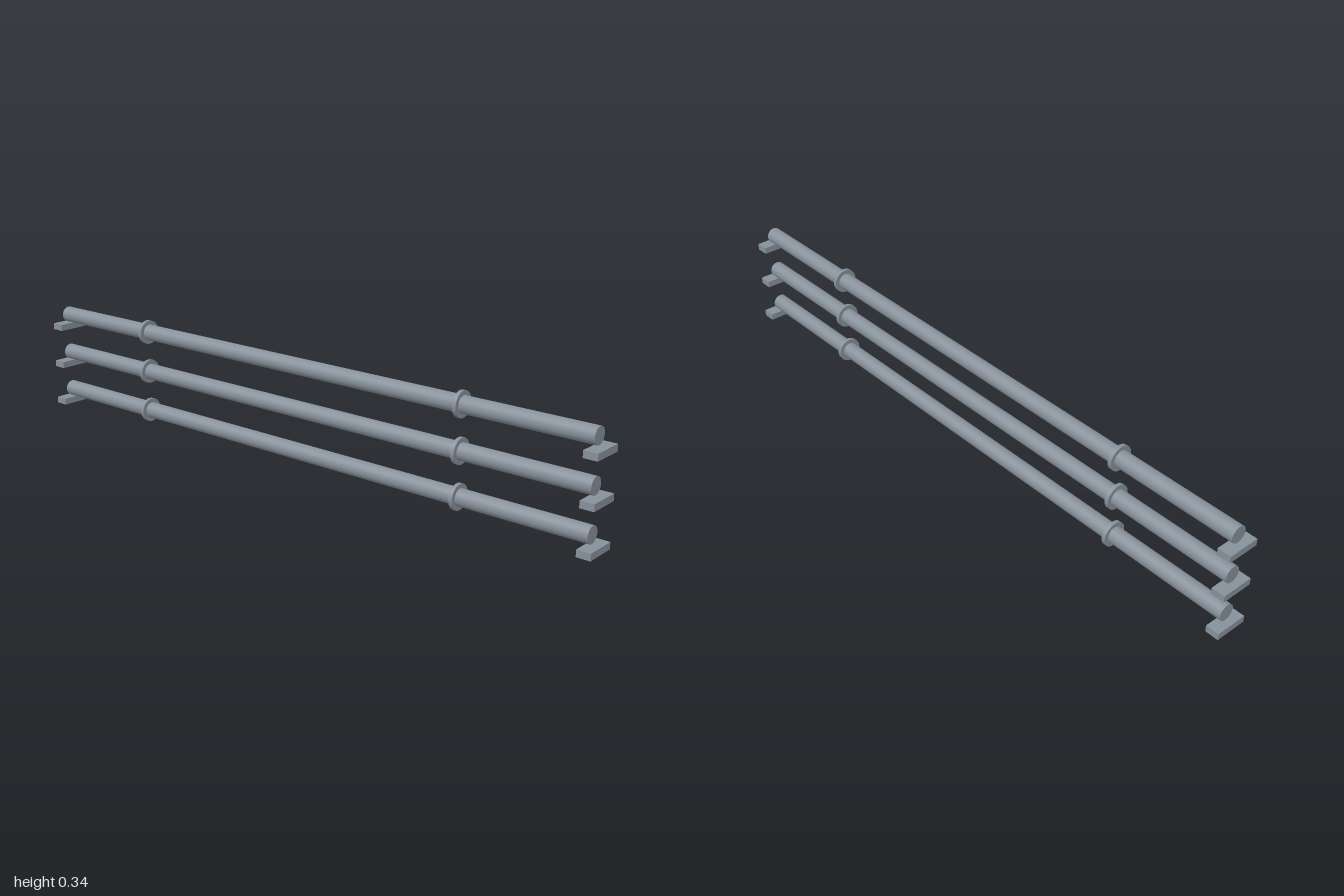
import * as THREE from 'three';

const steel = new THREE.MeshStandardMaterial({ color: 0x87919b });
steel.name = 'steel grey';

// Cylinder lying along x
function rod(name, radius, length, x, y) {
  const geometry = new THREE.CylinderGeometry(radius, radius, length, 32);
  geometry.rotateZ(Math.PI / 2);
  const mesh = new THREE.Mesh(geometry, steel);
  mesh.name = name;
  mesh.position.set(x, y, 0);
  return mesh;
}

// One pipe with two collars and a foot plate under each end
function createRail() {
  const rail = new THREE.Group();
  const axisY = 0.047;
  rail.add(rod('pipe', 0.0245, 1.955, -0.002, axisY));
  for (const side of [-1, 1]) {
    const label = side > 0 ? 'left' : 'right';
    rail.add(rod(label + 'Collar', 0.037, 0.011, side * 0.588 - 0.004, axisY));
    const foot = new THREE.Mesh(new THREE.BoxGeometry(0.04, 0.02, 0.097), steel);
    foot.name = label + 'FootPlate';
    foot.position.set(side * 0.98, 0.01, 0);
    rail.add(foot);
  }
  return rail;
}

export function createModel() {
  const model = new THREE.Group();
  model.name = 'pipeRails';
  ['lowerRail', 'middleRail', 'upperRail'].forEach((name, i) => {
    const rail = createRail();
    rail.name = name;
    rail.position.y = i * 0.127;
    model.add(rail);
  });
  return model;
}
